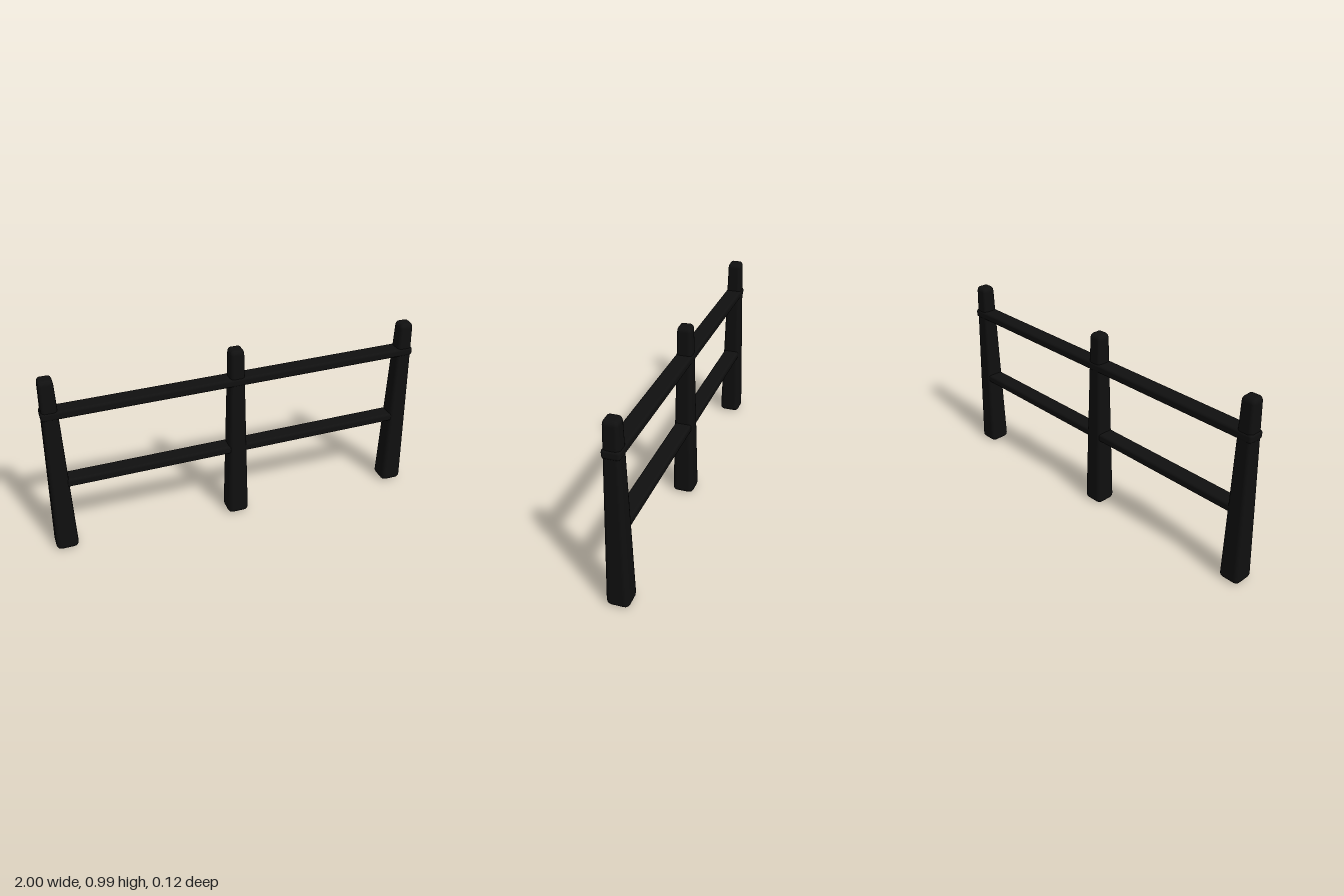
import * as THREE from 'three';
import { RoundedBoxGeometry } from 'three/addons/geometries/RoundedBoxGeometry.js';

const POST_HEIGHT = 0.985;
const POST_X = 0.942;

// Square post with rounded edges, narrowing towards the top
function makePostGeometry() {
  const geometry = new RoundedBoxGeometry(0.117, POST_HEIGHT, 0.117, 2, 0.027);
  geometry.translate(0, POST_HEIGHT / 2, 0);
  const position = geometry.attributes.position;
  for (let i = 0; i < position.count; i++) {
    const scale = 1 - 0.38 * (position.getY(i) / POST_HEIGHT);
    position.setX(i, position.getX(i) * scale);
    position.setZ(i, position.getZ(i) * scale);
  }
  return geometry;
}

export function createModel() {
  const group = new THREE.Group();
  const blackWood = new THREE.MeshStandardMaterial({ color: 0x101010 });
  blackWood.name = 'blackWood';

  // Three upright posts
  const postGeometry = makePostGeometry();
  [['right', -POST_X], ['middle', 0], ['left', POST_X]].forEach(([side, x]) => {
    const post = new THREE.Mesh(postGeometry, blackWood);
    post.name = side + 'Post';
    post.position.x = x;
    group.add(post);
  });

  // Two flat rails, rising slightly towards the left post
  const railGeometry = new RoundedBoxGeometry(1.975, 0.046, 0.088, 2, 0.014);
  [['lowerRail', 0.413], ['upperRail', 0.809]].forEach(([name, y]) => {
    const rail = new THREE.Mesh(railGeometry, blackWood);
    rail.name = name;
    rail.position.y = y;
    rail.rotation.z = 0.0145;
    group.add(rail);
  });

  return group;
}
